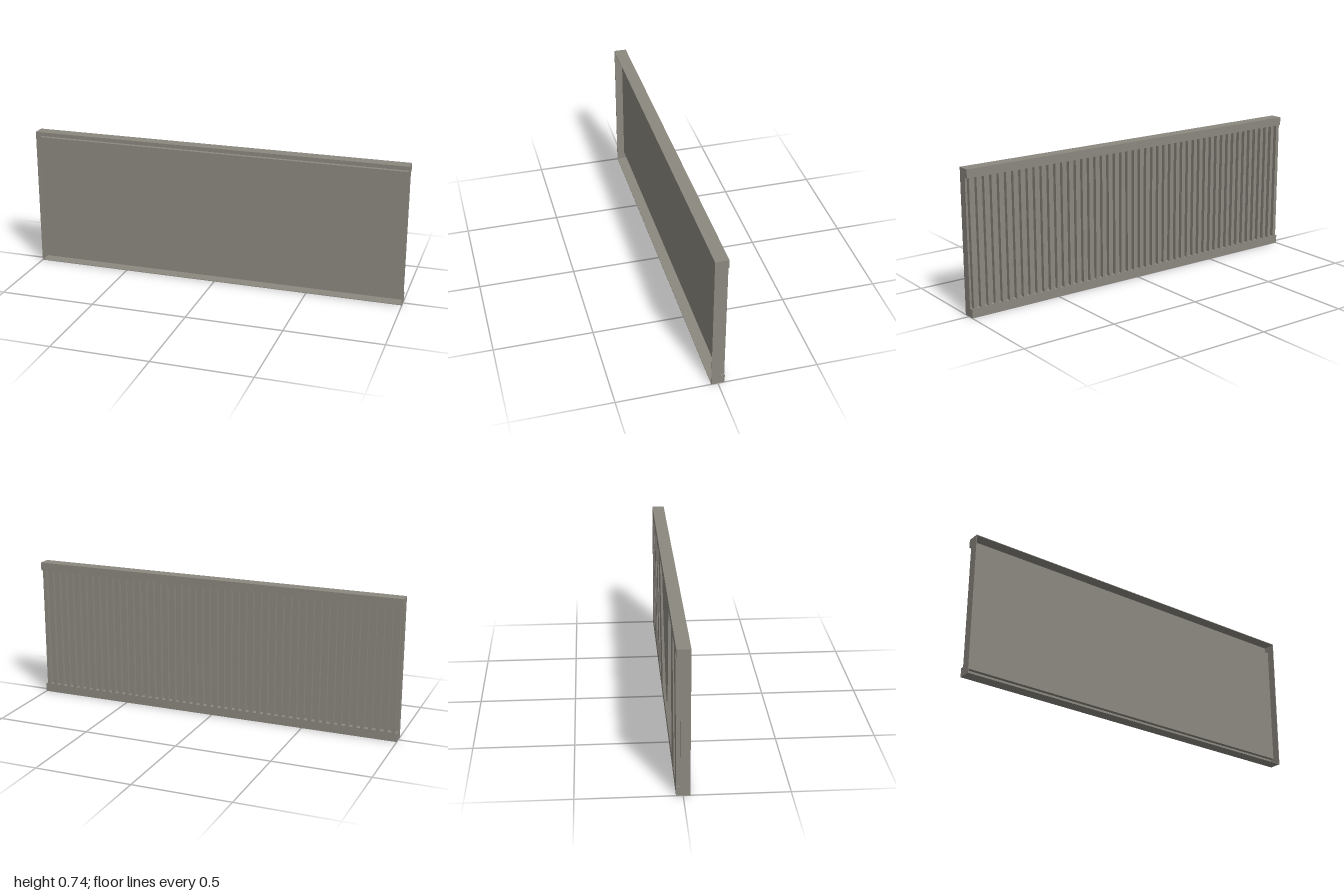
import * as THREE from 'three';

const H = 0.738;      // height
const D = 0.033;      // half depth
const T = 0.003;      // sheet thickness
const LOW = 0.046, HIGH = 0.694; // edges of the recessed field
const STEP = 0.012;   // how far back the recessed field sits
const R = 0.004;      // bend radius

// Extrude a side profile (x = toward the back, y = up) along the model's x axis
function extrudeAlongX(shape, x0, length) {
  const geometry = new THREE.ExtrudeGeometry(shape, { depth: length, bevelEnabled: false, curveSegments: 3 });
  geometry.rotateY(Math.PI / 2);
  geometry.translate(x0, 0, 0);
  return geometry;
}

// Outer edge of the profile, with the rear recess and its small bends
function outerEdge() {
  const s = new THREE.Shape();
  s.moveTo(-D, 0);
  s.lineTo(D, 0);
  s.lineTo(D, LOW);
  s.lineTo(STEP + R, LOW);
  s.quadraticCurveTo(STEP, LOW, STEP, LOW + R);
  s.lineTo(STEP, HIGH - R);
  s.quadraticCurveTo(STEP, HIGH, STEP + R, HIGH);
  s.lineTo(D, HIGH);
  s.lineTo(D, H);
  s.lineTo(-D, H);
  return s;
}

export function createModel() {
  const group = new THREE.Group();
  const metal = new THREE.MeshStandardMaterial({ color: 0x8c8880 });
  metal.name = 'warm grey metal';

  const add = (name, geometry) => {
    const mesh = new THREE.Mesh(geometry, metal);
    mesh.name = name;
    group.add(mesh);
    return mesh;
  };

  // Folded sheet: top and bottom flanges, rear strips and recessed field
  const sheet = outerEdge();
  [
    [-D, H - T], [D - T, H - T], [D - T, HIGH + T], [STEP - T, HIGH + T],
    [STEP - T, LOW - T], [D - T, LOW - T], [D - T, T], [-D, T],
  ].forEach(([x, y]) => sheet.lineTo(x, y));
  add('foldedPanel', extrudeAlongX(sheet, -1 + T, 2 - 2 * T));

  // End walls closing the tray
  add('leftEndWall', extrudeAlongX(outerEdge(), 1 - T, T));
  add('rightEndWall', extrudeAlongX(outerEdge(), -1, T));

  // Vertical ribs across the rear recess
  const count = 50, pitch = 2 / count;
  const ribDepth = D - STEP;
  const ribGeometry = new THREE.BoxGeometry(pitch * 0.5, HIGH - LOW, ribDepth);
  const ribs = new THREE.Group();
  ribs.name = 'rearRibs';
  for (let i = 0; i < count; i++) {
    const rib = new THREE.Mesh(ribGeometry, metal);
    rib.name = 'rib';
    rib.position.set(-1 + pitch * (i + 0.5), (LOW + HIGH) / 2, -STEP - ribDepth / 2);
    ribs.add(rib);
  }
  group.add(ribs);

  return group;
}
